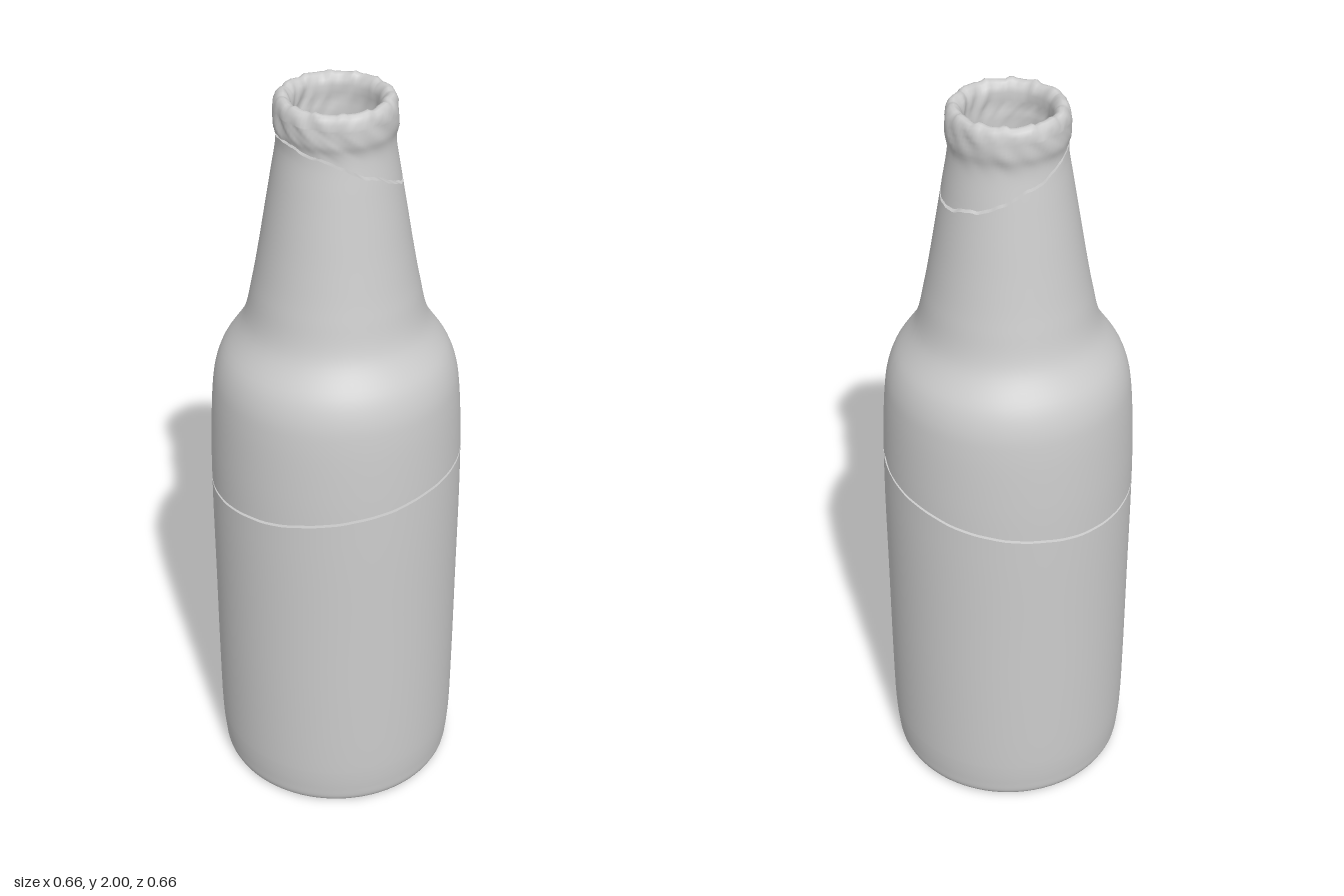
import * as THREE from 'three';

const SIDES = 96;
const GAP = 0.004; // half the width of a crack
const WALL = 0.042;

// Outer silhouette as [radius, height]
const outline = new THREE.CatmullRomCurve3([
  [0.306, 0], [0.317, 0.012], [0.323, 0.05], [0.328, 0.12], [0.33, 0.3], [0.33, 0.6], [0.33, 0.9],
  [0.327, 1.05], [0.318, 1.2], [0.309, 1.26], [0.291, 1.31], [0.235, 1.4], [0.21, 1.5], [0.191, 1.6],
  [0.174, 1.7], [0.157, 1.8], [0.144, 1.88], [0.144, 1.9], [0.149, 1.925], [0.148, 1.965],
].map(([r, y]) => new THREE.Vector3(r, y, 0)), false, 'centripetal').getPoints(300);

function radiusAt(y) {
  for (let i = 1; i < outline.length; i++) {
    const a = outline[i - 1], b = outline[i];
    if (y <= b.y) return THREE.MathUtils.mapLinear(Math.max(y, 0), a.y, b.y, a.x, b.x);
  }
  return outline[outline.length - 1].x;
}
const innerAt = (y) => Math.max(radiusAt(y) - WALL, 0.105);

// Slanted cracks: height as a function of angle and radius
const jag = (a) => 0.5 * Math.sin(a * 7 + 1) + 0.3 * Math.sin(a * 13 + 2) + 0.2 * Math.sin(a * 29);
const bodyCrack = (a, r) => 0.968 + r * (0.09 * Math.sin(a) + 0.13 * Math.cos(a)) + 0.002 * jag(a);
const neckCrack = (a, r) => 1.84 + r * (-0.45 * Math.sin(a) - 0.1 * Math.cos(a)) + 0.005 * jag(a);
// A small chip on the upper edge of the body crack
const chip = (a) => 0.013 * Math.exp(-(((a - 1.26) / 0.05) ** 2));

// Point [radius, height] where a crack meets a wall
function crackPoint(crack, a, offset, wall) {
  let y = crack(a, wall(1));
  for (let i = 0; i < 6; i++) y = crack(a, wall(y)) + offset;
  return [wall(y), y];
}

// Uneven glass around the mouth
function roughen(a, [r, y]) {
  const k = THREE.MathUtils.smoothstep(y, 1.86, 1.95);
  const n = jag(a + y * 9) + 0.5 * Math.sin(a * 17 + y * 60);
  return [r + 0.0025 * k * n, y - 0.004 * k * (1 + jag(a * 2)) * THREE.MathUtils.smoothstep(y, 1.95, 2)];
}

const material = new THREE.MeshStandardMaterial({ color: 0xcccccc, side: THREE.DoubleSide });

// Surface swept around the axis; section(angle) lists [radius, height] points
function sweep(name, section) {
  const positions = [], index = [];
  let rows = 0;
  for (let i = 0; i < SIDES; i++) {
    const a = (i / SIDES) * Math.PI * 2;
    const points = section(a);
    rows = points.length;
    for (const [r, y] of points) positions.push(r * Math.sin(a), y, r * Math.cos(a));
  }
  for (let i = 0; i < SIDES; i++) {
    const p = i * rows, q = ((i + 1) % SIDES) * rows;
    for (let j = 0; j < rows - 1; j++) {
      index.push(p + j, q + j, q + j + 1, p + j, q + j + 1, p + j + 1);
    }
  }
  const geometry = new THREE.BufferGeometry();
  geometry.setAttribute('position', new THREE.Float32BufferAttribute(positions, 3));
  geometry.setIndex(index);
  geometry.computeVertexNormals();
  const mesh = new THREE.Mesh(geometry, material);
  mesh.name = name;
  return mesh;
}

// Points following a wall from one height to another
function run(wall, y0, y1, steps) {
  return Array.from({ length: steps + 1 }, (_, i) => {
    const y = y0 + ((y1 - y0) * i) / steps;
    return [wall(y), y];
  });
}

function group(name, ...meshes) {
  const g = new THREE.Group();
  g.name = name;
  g.add(...meshes);
  return g;
}

// The two walls' edges at a crack
const edges = (crack, a, offset) => [
  crackPoint(crack, a, offset, radiusAt), crackPoint(crack, a, offset, innerAt)];

export function createModel() {
  const bodyTop = (a) => edges(bodyCrack, a, -GAP);
  const shoulderBottom = (a) => edges(bodyCrack, a, GAP + chip(a));
  const shoulderTop = (a) => edges(neckCrack, a, -GAP);
  const mouthBottom = (a) => edges(neckCrack, a, GAP);

  // Lower body with a flat base
  const body = group('lowerBody',
    sweep('base', () => [[0, 0], [0.306, 0]]),
    sweep('bodyOuterWall', (a) => [
      ...run(radiusAt, 0, 0.12, 14), ...run(radiusAt, 0.16, bodyTop(a)[0][1], 12)]),
    sweep('bodyCrackFace', bodyTop),
    sweep('bodyInnerWall', (a) => run(innerAt, bodyTop(a)[1][1], 0.05, 14)),
    sweep('insideFloor', () => [[innerAt(0.05), 0.05], [0, 0.05]]));

  // Shoulder and long neck between the two cracks
  const shoulder = group('shoulderAndNeck',
    sweep('shoulderCrackFace', (a) => shoulderBottom(a).reverse()),
    sweep('shoulderOuterWall', (a) => run(radiusAt, shoulderBottom(a)[0][1], shoulderTop(a)[0][1], 60)),
    sweep('neckCrackFace', shoulderTop),
    sweep('shoulderInnerWall', (a) => run(innerAt, shoulderTop(a)[1][1], shoulderBottom(a)[1][1], 40)));

  // Broken-off mouth with a rounded lip
  const lip = [[0.146, 1.98], [0.141, 1.992], [0.134, 1.999], [0.126, 2], [0.118, 1.996], [0.11, 1.985], [0.106, 1.97]];
  const mouth = group('mouth',
    sweep('mouthCrackFace', (a) => mouthBottom(a).reverse()),
    sweep('lip', (a) => [
      ...run(radiusAt, mouthBottom(a)[0][1], 1.965, 18), ...lip,
      ...run(innerAt, 1.95, mouthBottom(a)[1][1], 10)].map((p) => roughen(a, p))));

  return group('bottle', body, shoulder, mouth);
}
